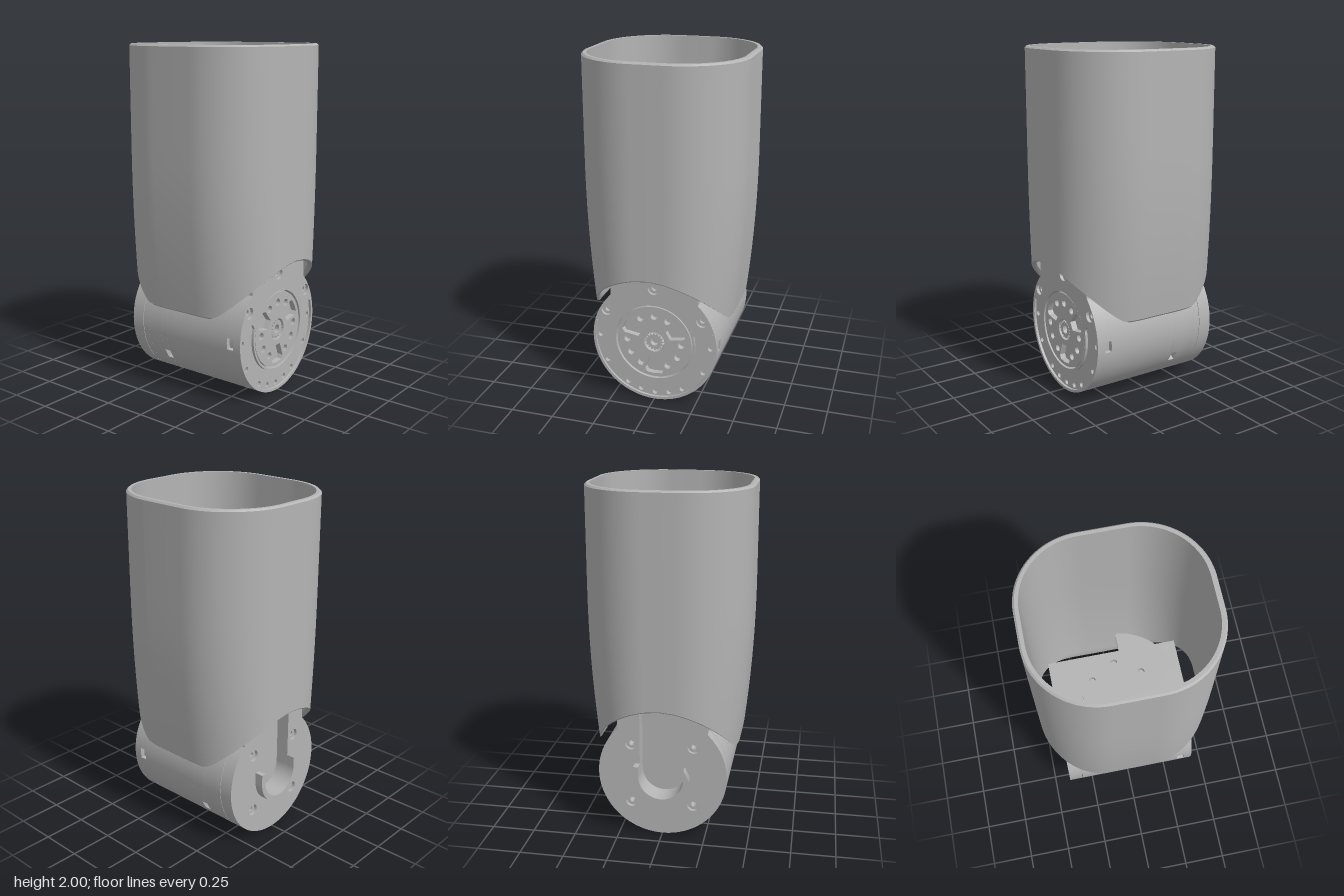
import * as THREE from 'three';
import { toCreasedNormals } from 'three/addons/utils/BufferGeometryUtils.js';

const R = 0.372;        // joint housing radius, also its axis height
const NECK = 0.26;      // neck half width
const TOP = 0.445;      // neck top above the axis
const rad = Math.PI / 180;

export function createModel() {
  const model = new THREE.Group();
  const grey = new THREE.MeshStandardMaterial({ color: 0xb4b4b4 });
  grey.name = 'plain grey';
  const joint = new THREE.Group();
  joint.name = 'joint';
  joint.position.y = R;
  model.add(joint);

  const add = (parent, name, geo) => {
    const mesh = new THREE.Mesh(toCreasedNormals(geo, 0.55), grey);
    mesh.name = name;
    parent.add(mesh);
    return mesh;
  };
  // Extrude a shape between two z positions
  const slab = (name, shape, z0, z1, seg = 40) => {
    const geo = new THREE.ExtrudeGeometry(shape, { depth: z1 - z0, bevelEnabled: false, curveSegments: seg });
    return add(joint, name, geo.translate(0, 0, z0));
  };
  const circle = (x, y, r) => new THREE.Path().absarc(x, y, r, 0, Math.PI * 2, true);
  const disc = (r, hole) => {
    const s = new THREE.Shape().absarc(0, 0, r, 0, Math.PI * 2, false);
    if (hole) s.holes.push(circle(0, 0, hole));
    return s;
  };
  const sector = (r0, r1, a0, a1) => new THREE.Shape()
    .absarc(0, 0, r1, a0 * rad, a1 * rad, false)
    .absarc(0, 0, r0, a1 * rad, a0 * rad, true);
  // Round housing with a straight neck on top
  const profile = (r) => {
    const a = Math.acos(NECK / r);
    return new THREE.Shape()
      .absarc(0, 0, r, Math.PI - a, Math.PI * 2 + a, false)
      .lineTo(NECK, TOP).lineTo(-NECK, TOP);
  };

  // Core and slotted housing skin
  slab('housing core', profile(0.345), -0.32, 0.36);
  const skin = (z0, z1, gaps) => {
    if (!gaps.length) return slab('housing skin', disc(R, 0.34), z0, z1, 64);
    gaps.forEach(([c, h], i) => {
      const [n, m] = gaps[(i + 1) % gaps.length];
      const end = n - m + (i === gaps.length - 1 ? 360 : 0);
      slab('housing skin', sector(0.34, R, c + h, end), z0, z1, 30);
    });
  };
  const rearSlots = [[30, 4], [210, 5], [240, 4], [300, 4], [330, 5]];
  const socket = [270, 14];
  skin(0.35, 0.36, []);
  skin(0.308, 0.35, [[0, 5], [180, 5], [240, 4], [300, 4]]);
  skin(-0.10, 0.308, []);
  skin(-0.14, -0.10, [socket]);
  skin(-0.18, -0.14, [...rearSlots, socket].sort((p, q) => p[0] - q[0]));
  skin(-0.28, -0.18, [socket]);
  skin(-0.317, -0.28, []);

  // Back cap with cable channel and screws
  const back = profile(R);
  back.holes.push(new THREE.Path().absarc(0, 0, 0.13, 0, Math.PI, true)
    .lineTo(-0.13, 0.41).lineTo(0.13, 0.41).lineTo(0.13, 0));
  for (const x of [-0.18, 0.18]) for (const y of [-0.18, 0.18]) {
    back.holes.push(circle(x, y, 0.034));
    const ring = new THREE.Shape().absarc(x, y, 0.035, 0, Math.PI * 2, false);
    ring.holes.push(circle(x, y, 0.016));
    slab('back screw', ring, -0.38, -0.33, 12);
  }
  slab('back cap', back, -0.4, -0.32);
  const lip = new THREE.Shape().moveTo(-0.16, 0.06)
    .absarc(0, 0, 0.16, Math.PI, Math.PI * 2, false)
    .lineTo(0.16, 0.06).lineTo(0.13, 0.06)
    .absarc(0, 0, 0.13, 0, Math.PI, true).lineTo(-0.13, 0.06);
  slab('cable lip', lip, -0.45, -0.4);

  // Front base with small rim holes
  const front = profile(R);
  front.holes.push(circle(0, 0, 0.235));
  for (const a of [0, 180, 209, 331, 240, 300, 255, 285, 270])
    front.holes.push(circle(0.333 * Math.cos(a * rad), 0.333 * Math.sin(a * rad), 0.016));
  const screws = [[0, 0.335], [-0.285, 0.17], [0.285, 0.17]];
  screws.forEach(([x, y]) => front.holes.push(circle(x, y, 0.034)));
  slab('front base', front, 0.36, 0.385);

  // Raised upper plate and lower rim
  const a = Math.acos(NECK / R);
  const upper = new THREE.Shape()
    .absarc(0, 0, R, 15 * rad, a, false)
    .lineTo(NECK, TOP).lineTo(-NECK, TOP)
    .absarc(0, 0, R, Math.PI - a, 165 * rad, false)
    .lineTo(-0.27, 0.096).quadraticCurveTo(-0.245, 0.096, -0.236, 0.066)
    .absarc(0, 0, 0.245, 164.4 * rad, 15.6 * rad, true)
    .quadraticCurveTo(0.245, 0.096, 0.27, 0.096);
  screws.forEach(([x, y]) => {
    upper.holes.push(circle(x, y, 0.034));
    const ring = new THREE.Shape().absarc(x, y, 0.035, 0, Math.PI * 2, false);
    ring.holes.push(circle(x, y, 0.017));
    slab('front screw', ring, 0.36, 0.382, 12);
  });
  slab('upper face plate', upper, 0.385, 0.4);
  slab('lower rim', sector(0.356, R, 165, 375), 0.385, 0.4);
  slab('rotor collar', disc(0.245, 0.232), 0.36, 0.4, 48);

  // Rotor with bolt holes, three pockets and a splined hub
  const rotor = disc(0.223, 0.062);
  for (let i = 0; i < 12; i++) {
    const t = i * 30 * rad, c = Math.cos(t), s = Math.sin(t);
    if (i % 4 === 1) {
      const p = [[0.095, -0.026], [0.095, 0.026], [0.175, 0.056], [0.198, 0.045], [0.204, 0], [0.198, -0.045], [0.175, -0.056]];
      rotor.holes.push(new THREE.Path(p.map(([u, v]) => new THREE.Vector2(u * c - v * s, u * s + v * c))));
    } else rotor.holes.push(circle(0.163 * c, 0.163 * s, 0.021));
  }
  slab('rotor', rotor, 0.36, 0.395, 48);
  const teeth = [];
  for (let i = 0; i < 64; i++) {
    const r = i % 4 < 2 ? 0.054 : 0.044;
    teeth.push(new THREE.Vector2(r * Math.cos(i * Math.PI / 32), r * Math.sin(i * Math.PI / 32)));
  }
  const hub = new THREE.Shape(teeth);
  hub.holes.push(circle(0, 0, 0.025));
  slab('splined hub', hub, 0.36, 0.39, 16);

  // Fan shaped mounting plate on top of the neck
  const fan = new THREE.Shape()
    .absarc(0, 0, 0.228, 0, Math.PI, false)
    .lineTo(-0.228, -0.015).quadraticCurveTo(-0.228, -0.045, -0.26, -0.045)
    .lineTo(-0.345, -0.045).quadraticCurveTo(-0.368, -0.045, -0.363, -0.075)
    .absarc(0, 0, 0.37, 191.6 * rad, 348.4 * rad, false)
    .quadraticCurveTo(0.368, -0.045, 0.345, -0.045)
    .lineTo(0.26, -0.045).quadraticCurveTo(0.228, -0.045, 0.228, -0.015);
  for (let i = 0; i < 6; i++)
    fan.holes.push(circle(0.176 * Math.cos(i * 60 * rad), 0.176 * Math.sin(i * 60 * rad), 0.021));
  const fanGeo = new THREE.ExtrudeGeometry(fan, { depth: 0.03, bevelEnabled: false, curveSegments: 32 });
  add(joint, 'mounting plate', fanGeo.rotateX(-Math.PI / 2).translate(0, TOP, 0));

  add(model, 'limb shell', shellGeometry());
  return model;
}

// Open rounded sleeve, narrowing downward, its lower edge cut by a cylinder around the joint
function shellGeometry() {
  const cx = 0.09, cz = 0.13, r = 0.38, N = 22, outline = [];
  for (let k = 0; k < 4; k++) {
    const sx = k === 0 || k === 3 ? 1 : -1, sz = k < 2 ? 1 : -1;
    for (let i = 0; i <= N; i++) {
      const t = (k + i / N) * Math.PI / 2;
      outline.push([sx * cx, sz * cz, Math.cos(t), Math.sin(t)]);
    }
    const t = (k + 1) * Math.PI / 2, nx = Math.round(Math.cos(t)), nz = Math.round(Math.sin(t));
    outline.push([nx * cx, nz * cz, nx, nz]);
  }
  const scale = (y) => 1 - 0.117 * Math.max(0, (1.4 - y) / 0.9) ** 2;
  const cutHeight = (x) => {
    let lo = 0.5, hi = 0.8;
    for (let i = 0; i < 24; i++) {
      const y = (lo + hi) / 2;
      if ((y - R) ** 2 + (x * scale(y)) ** 2 > 0.42 ** 2) hi = y; else lo = y;
    }
    return hi;
  };
  // Cross-section rows: inset from the outside, height fraction from cut edge to rim
  const rows = [[0.022, 0], [0.008, 0.002]];
  for (let j = 0; j <= 14; j++) rows.push([0, 0.008 + 0.985 * (j / 14) ** 1.3]);
  rows.push([0.01, 1], [0.03, 1]);
  for (let j = 13; j >= 0; j--) rows.push([0.03, 0.004 + 0.99 * (j / 14) ** 1.3]);
  rows.push([0.022, 0]);
  const pos = [], idx = [], M = outline.length;
  for (const [d, f] of rows) for (const [ox, oz, nx, nz] of outline) {
    const x = ox + nx * (r - d), y0 = cutHeight(x), y = y0 + (2 - y0) * f;
    pos.push(x * scale(y), y, oz + nz * (r - d));
  }
  for (let j = 0; j < rows.length - 1; j++) for (let i = 0; i < M; i++) {
    const a = j * M + i, b = j * M + (i + 1) % M;
    idx.push(a, a + M, b, b, a + M, b + M);
  }
  const geo = new THREE.BufferGeometry();
  geo.setAttribute('position', new THREE.Float32BufferAttribute(pos, 3));
  geo.setIndex(idx);
  return geo;
}
